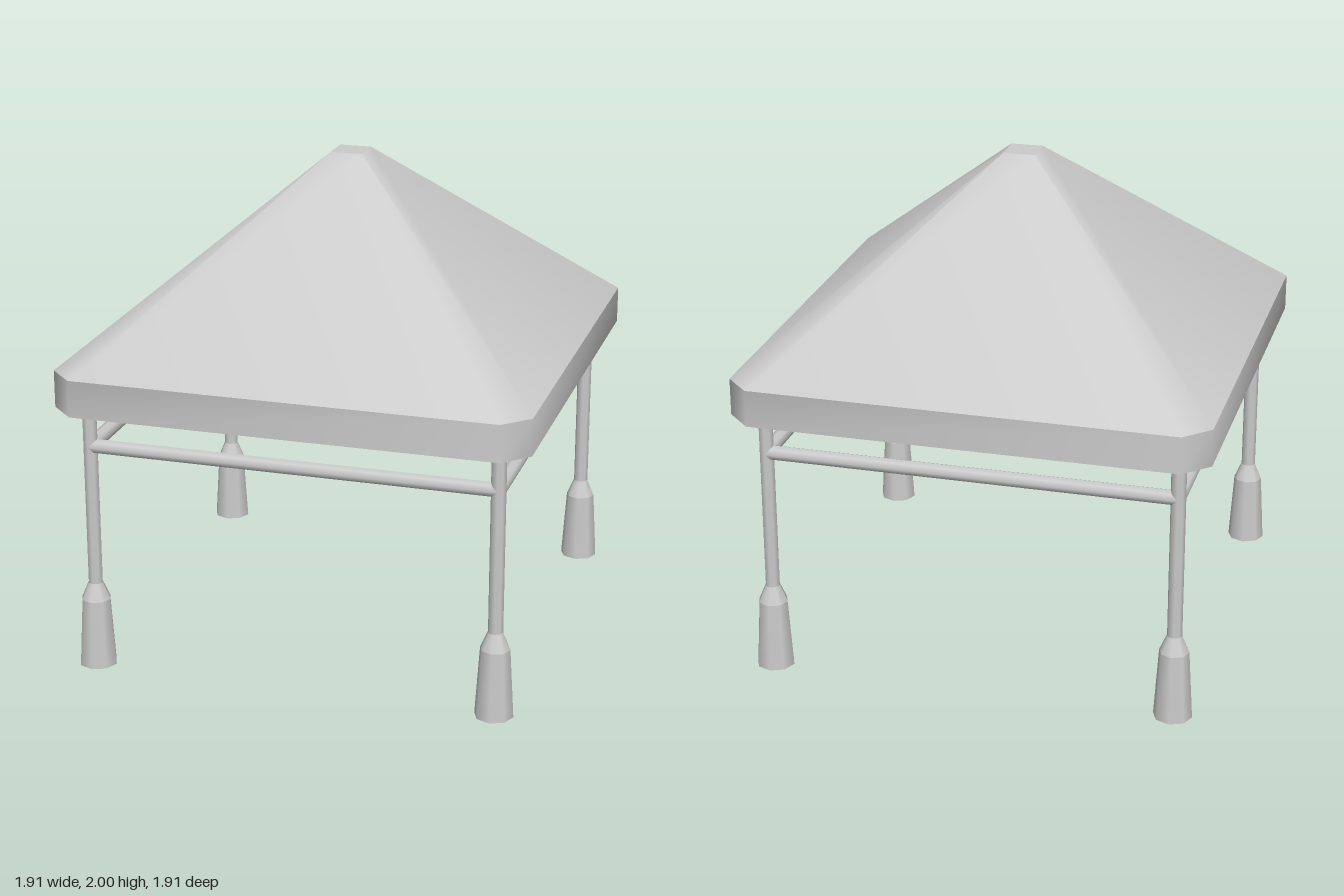
import * as THREE from 'three';
import { toCreasedNormals } from 'three/addons/utils/BufferGeometryUtils.js';

const material = new THREE.MeshStandardMaterial({ color: 0xcccccc });
const SIDES = 8;
const LEG = 0.825; // leg distance from the centre on x and z

function part(name, geometry, x = 0, y = 0, z = 0) {
  const mesh = new THREE.Mesh(geometry, material);
  mesh.name = name;
  mesh.position.set(x, y, z);
  return mesh;
}

// Square ring of half-width h with corners cut by c, at height y
function ring(h, c, y) {
  const points = [];
  let [x, z] = [h - c, h];
  let [x2, z2] = [h, h - c];
  for (let i = 0; i < 4; i++) {
    points.push(new THREE.Vector3(x, y, z), new THREE.Vector3(x2, y, z2));
    [x, z] = [z, -x];
    [x2, z2] = [z2, -x2];
  }
  return points;
}

// Skin between two rings, leaving out collapsed triangles
function loft(lower, upper) {
  const corners = [];
  const add = (a, b, c) => {
    if (new THREE.Triangle(a, b, c).getArea() > 1e-7) corners.push(a, b, c);
  };
  lower.forEach((a, i) => {
    const j = (i + 1) % lower.length;
    add(a, lower[j], upper[j]);
    add(a, upper[j], upper[i]);
  });
  const geometry = new THREE.BufferGeometry().setFromPoints(corners);
  return toCreasedNormals(geometry, 0.8);
}

// Closed canopy with a straight rim and a pyramid slope
function createRoof() {
  const roof = new THREE.Group();
  roof.name = 'roof';
  const bottom = ring(0.955, 0.1, 1.1);
  const eave = ring(0.955, 0.1, 1.25);
  const peak = ring(0.065, 0, 2);
  roof.add(
    part('ceiling', loft(ring(0, 0, 1.1), bottom)),
    part('roofRim', loft(bottom, eave)),
    part('roofSlope', loft(eave, peak)),
    part('roofCap', loft(peak, ring(0, 0, 2)))
  );
  return roof;
}

// Post with a weighted foot
function createLeg(name, x, z) {
  const leg = new THREE.Group();
  leg.name = name;
  leg.position.set(x, 0, z);
  leg.add(
    part('foot', new THREE.CylinderGeometry(0.06, 0.078, 0.285, SIDES), 0, 0.1425, 0),
    part('footCollar', new THREE.CylinderGeometry(0.03, 0.06, 0.07, SIDES, 1, true), 0, 0.32, 0),
    part('post', new THREE.CylinderGeometry(0.03, 0.03, 0.76, SIDES), 0, 0.73, 0)
  );
  return leg;
}

export function createModel() {
  const model = new THREE.Group();
  model.name = 'canopy';
  model.add(createRoof());

  for (const [front, z] of [['front', LEG], ['back', -LEG]]) {
    for (const [side, x] of [['Left', LEG], ['Right', -LEG]]) {
      model.add(createLeg(front + side + 'Leg', x, z));
    }
  }

  // Crossbars between neighbouring posts
  const bar = new THREE.CylinderGeometry(0.03, 0.03, 2 * LEG, SIDES).rotateZ(Math.PI / 2);
  ['front', 'left', 'back', 'right'].forEach((side, i) => {
    const turn = (i * Math.PI) / 2;
    const crossbar = part(side + 'Crossbar', bar, LEG * Math.sin(turn), 0.94, LEG * Math.cos(turn));
    crossbar.rotation.y = turn;
    model.add(crossbar);
  });

  return model;
}
